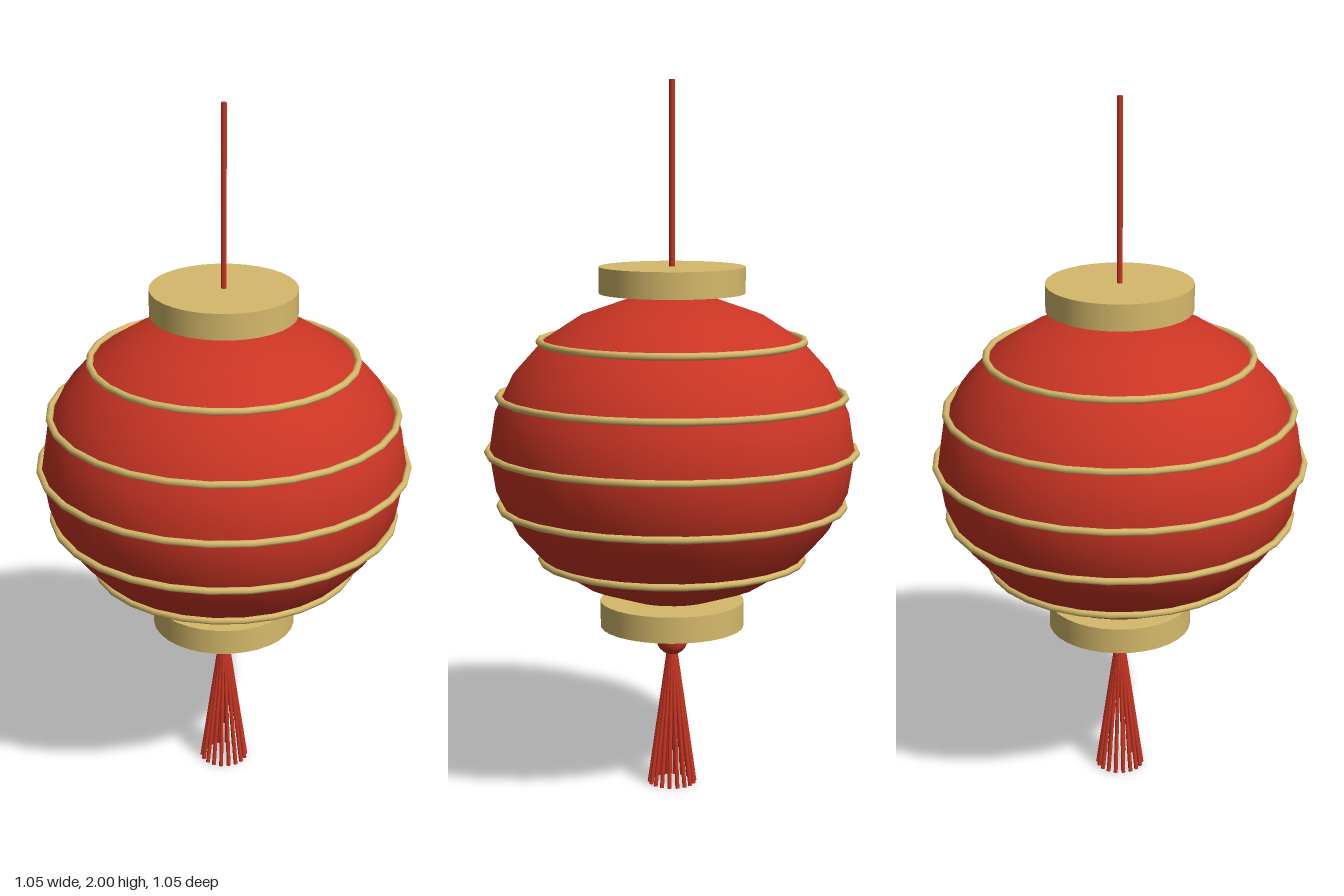
import * as THREE from 'three';

export function createModel() {
  const model = new THREE.Group();
  model.name = 'paperLantern';
  const red = new THREE.MeshStandardMaterial({ color: 0xcb3524 });
  red.name = 'lantern red';
  const gold = new THREE.MeshStandardMaterial({ color: 0xd6b96b });
  gold.name = 'pale gold';

  const add = (name, geometry, material, y = 0, parent = model) => {
    const mesh = new THREE.Mesh(geometry, material);
    mesh.name = name;
    mesh.position.y = y;
    parent.add(mesh);
    return mesh;
  };

  // Flattened paper body
  const centre = 0.977;
  const body = new THREE.SphereGeometry(0.512, 28, 12).scale(1, 0.85, 1);
  add('body', body, red, centre);

  // Hoops hugging the body, mirrored about the widest one
  const hoops = [[0, 0.517], [0.154, 0.485], [-0.154, 0.485], [0.308, 0.37], [-0.308, 0.37]];
  for (const [dy, radius] of hoops) {
    const hoop = new THREE.TorusGeometry(radius, 0.01, 8, 28).rotateX(Math.PI / 2);
    add('hoop', hoop, gold, centre + dy);
  }

  // End caps
  const cap = new THREE.CylinderGeometry(0.204, 0.204, 0.074, 32);
  add('topCap', cap, gold, centre + 0.477);
  add('bottomCap', cap, gold, centre - 0.471);

  // Hanging cord
  add('cord', new THREE.CylinderGeometry(0.008, 0.008, 0.52, 8), red, 1.74);

  // Bead and flared ring of tassel strands
  const tassel = new THREE.Group();
  tassel.name = 'tassel';
  model.add(tassel);
  add('bead', new THREE.SphereGeometry(0.045, 20, 14), red, 0.427, tassel);
  const count = 18;
  for (let i = 0; i < count; i++) {
    const a = (i / count) * Math.PI * 2;
    const at = (r, y) => new THREE.Vector3(r * Math.cos(a), y, r * Math.sin(a));
    const top = at(0.008, 0.41);
    const bottom = at(0.065, 0.001);
    const along = top.clone().sub(bottom);
    const strand = add('strand', new THREE.CylinderGeometry(0.005, 0.006, along.length(), 6), red, 0, tassel);
    strand.position.copy(top).add(bottom).multiplyScalar(0.5);
    strand.quaternion.setFromUnitVectors(new THREE.Vector3(0, 1, 0), along.normalize());
  }

  return model;
}
